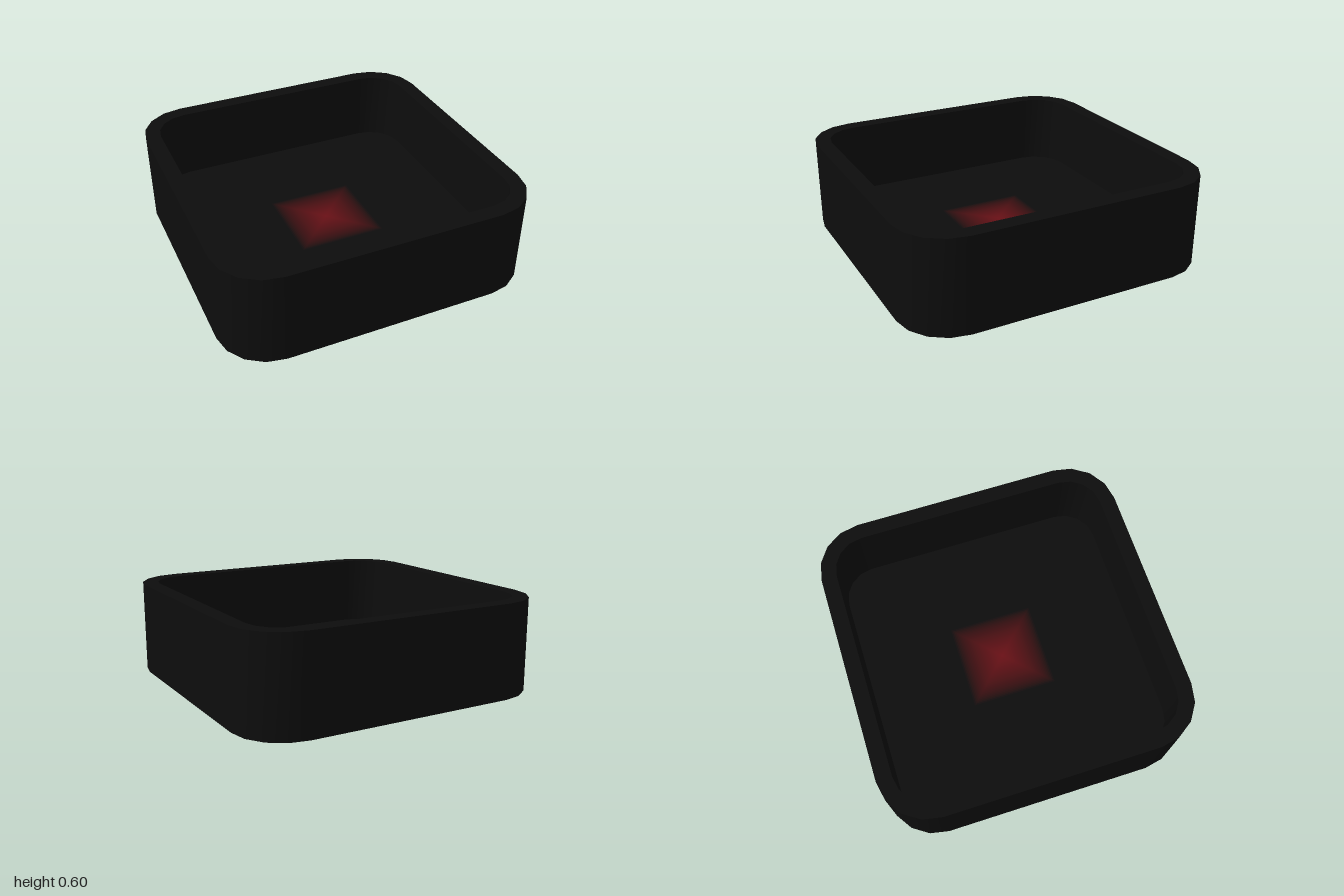
import * as THREE from 'three';

const HEIGHT = 0.6, FLOOR_Y = 0.13, CORE = 0.68, OUTER_R = 0.32, INNER_R = 0.22;
const CORNER_STEPS = 4, GLOW_HALF = 0.28, GLOW_STEPS = 28;

// Rounded square outline: four corner arcs around a square core
function outline(radius) {
  const points = [];
  for (let corner = 0; corner < 4; corner++) {
    const mid = (corner + 0.5) * Math.PI / 2;
    const cx = CORE * Math.sign(Math.cos(mid)), cy = CORE * Math.sign(Math.sin(mid));
    for (let i = 0; i <= CORNER_STEPS; i++) {
      const a = (corner + i / CORNER_STEPS) * Math.PI / 2;
      points.push(new THREE.Vector2(cx + radius * Math.cos(a), cy + radius * Math.sin(a)));
    }
  }
  return points;
}

function square(half) {
  return [[1, 1], [-1, 1], [-1, -1], [1, -1]].map(([x, y]) => new THREE.Vector2(x * half, y * half));
}

// Smooth upright band following an outline; faces outward when y0 < y1, inward otherwise
function band(points, y0, y1) {
  const positions = [], indices = [], n = points.length;
  points.forEach((p, i) => {
    positions.push(p.x, y0, p.y, p.x, y1, p.y);
    const a = 2 * i, b = 2 * ((i + 1) % n);
    indices.push(a, a + 1, b, b, a + 1, b + 1);
  });
  const geometry = new THREE.BufferGeometry();
  geometry.setAttribute('position', new THREE.Float32BufferAttribute(positions, 3));
  geometry.setIndex(indices);
  geometry.computeVertexNormals();
  return geometry;
}

// Flat upward-facing plate with an optional hole
function plate(points, hole, y) {
  const shape = new THREE.Shape(points);
  if (hole) shape.holes.push(new THREE.Path(hole));
  return new THREE.ShapeGeometry(shape).rotateX(-Math.PI / 2).translate(0, y, 0);
}

export function createModel() {
  const model = new THREE.Group();
  model.name = 'tray';
  const black = new THREE.Color(0x0d0d0d), red = new THREE.Color(0x6a1016);
  const paint = (color) => new THREE.MeshStandardMaterial({ color, side: THREE.DoubleSide });
  const shell = paint(black);
  const add = (name, geometry, material, parent = model) => {
    const mesh = new THREE.Mesh(geometry, material);
    mesh.name = name;
    parent.add(mesh);
  };

  const outer = outline(OUTER_R), inner = outline(INNER_R);
  add('outerWall', band(outer, 0, HEIGHT), shell);
  add('innerWall', band(inner, HEIGHT, FLOOR_Y), shell);
  add('rim', plate(outer, inner, HEIGHT), shell);
  add('floor', plate(inner, square(GLOW_HALF), FLOOR_Y), shell);

  // Red glow in the floor: nested square rings fading outward
  const glow = new THREE.Group();
  glow.name = 'floorGlow';
  model.add(glow);
  for (let i = 0; i < GLOW_STEPS; i++) {
    const hole = i > 0 ? square(GLOW_HALF * i / GLOW_STEPS) : null;
    const color = new THREE.Color().lerpColors(red, black, (i + 0.5) / GLOW_STEPS);
    add('glowRing', plate(square(GLOW_HALF * (i + 1) / GLOW_STEPS), hole, FLOOR_Y), paint(color), glow);
  }
  return model;
}
